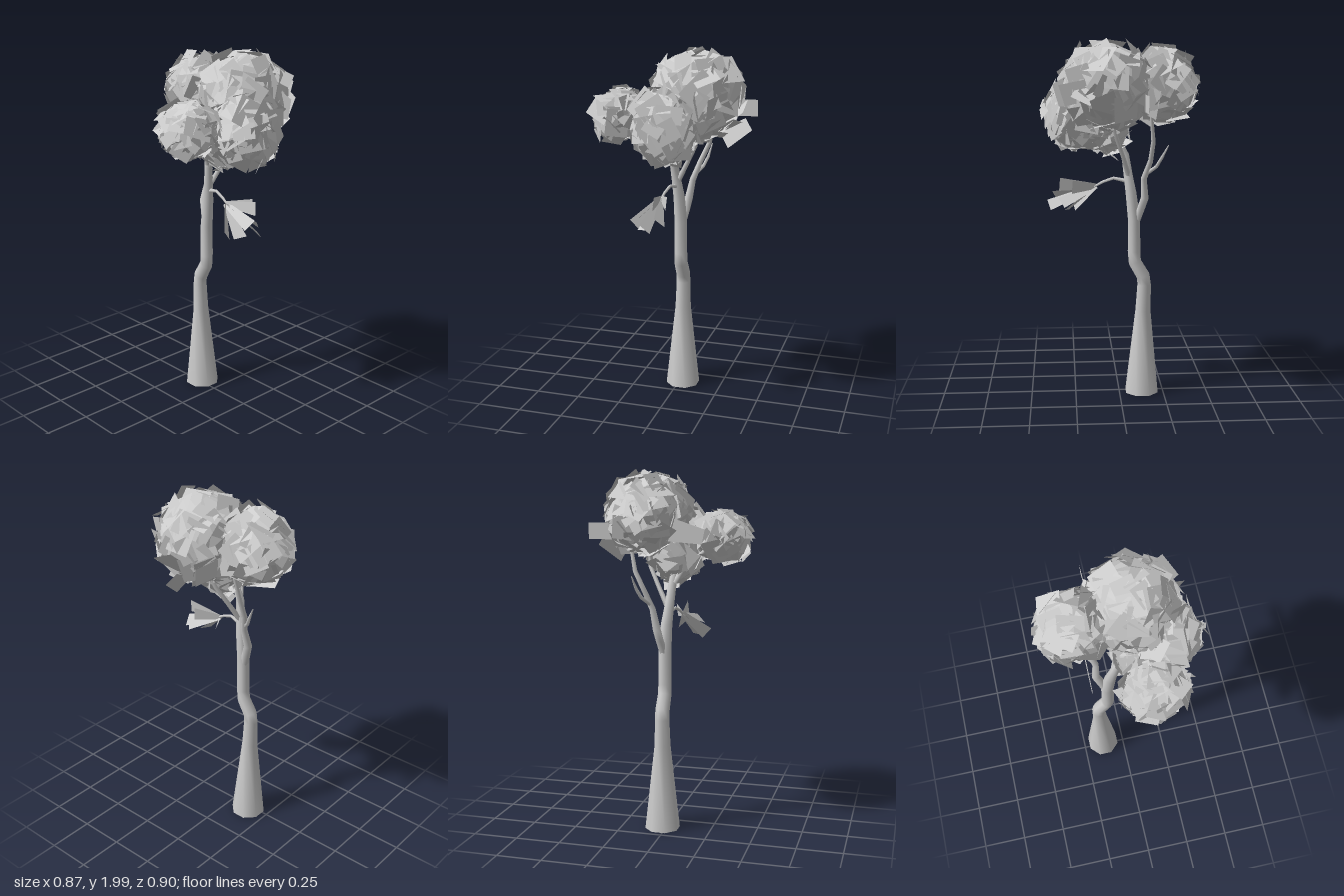
import * as THREE from 'three';
import { mergeGeometries } from 'three/addons/utils/BufferGeometryUtils.js';

const bark = new THREE.MeshStandardMaterial({ color: 0xcccccc, side: THREE.DoubleSide });
const leaf = new THREE.MeshStandardMaterial({ color: 0xcccccc, side: THREE.DoubleSide, flatShading: true });
const V = (a) => new THREE.Vector3(a[0], a[1], a[2]);

function seeded(seed) {
  let s = seed;
  return () => (s = (s * 16807) % 2147483647) / 2147483647;
}

// Tapered limb: rings of given radius at each [x, y, z, radius] point
function limb(name, path, sides) {
  const pos = [], index = [];
  path.forEach((p, i) => {
    const dir = V(path[Math.min(i + 1, path.length - 1)]).sub(V(path[Math.max(i - 1, 0)])).normalize();
    if (p[1] === 0) dir.set(0, 1, 0);
    const u = new THREE.Vector3().crossVectors(dir, new THREE.Vector3(0, 0, 1)).normalize();
    const w = new THREE.Vector3().crossVectors(u, dir);
    for (let j = 0; j < sides; j++) {
      const a = ((j + 0.5) / sides) * Math.PI * 2;
      const q = V(p).addScaledVector(u, p[3] * Math.cos(a)).addScaledVector(w, -p[3] * Math.sin(a));
      pos.push(q.x, q.y, q.z);
      if (i === 0) continue;
      const k = (j + 1) % sides, b = i * sides, c = b - sides;
      index.push(c + j, b + j, c + k, c + k, b + j, b + k);
    }
  });
  const g = new THREE.BufferGeometry();
  g.setAttribute('position', new THREE.Float32BufferAttribute(pos, 3));
  g.setIndex(index);
  g.computeVertexNormals();
  const m = new THREE.Mesh(g, bark);
  m.name = name;
  return m;
}

// Flat leaf card at a point, facing along normal, spun by an angle
function card(centre, normal, w, h, spin) {
  const q = new THREE.Quaternion().setFromUnitVectors(new THREE.Vector3(0, 0, 1), normal);
  return new THREE.PlaneGeometry(w, h).rotateZ(spin).applyQuaternion(q).translate(centre.x, centre.y, centre.z);
}

// Tapered leaf card running from one point to another
function blade(from, to, w0, w1, roll) {
  const a = V(from), dir = V(to).sub(a), len = dir.length();
  const g = new THREE.PlaneGeometry(1, len).translate(0, len / 2, 0);
  const p = g.attributes.position;
  for (let i = 0; i < p.count; i++) p.setX(i, p.getX(i) * (p.getY(i) > len / 2 ? w1 : w0));
  const q = new THREE.Quaternion().setFromUnitVectors(new THREE.Vector3(0, 1, 0), dir.normalize());
  g.rotateY(roll).applyQuaternion(q).translate(a.x, a.y, a.z);
  g.computeVertexNormals();
  return g;
}

// Clump of overlapping cards spread evenly over an ellipsoid
function clump(name, centre, radii, count, size, seed) {
  const rnd = seeded(seed), cards = [];
  for (let i = 0; i < count; i++) {
    const y = 1 - (2 * (i + 0.5)) / count, r = Math.sqrt(1 - y * y), a = i * 2.39996;
    const d = new THREE.Vector3(r * Math.cos(a), y, r * Math.sin(a));
    const c = d.clone().multiply(V(radii)).multiplyScalar(0.82 + 0.1 * rnd()).add(V(centre));
    const n = d.clone().divide(V(radii)).normalize();
    n.add(new THREE.Vector3(rnd() - 0.5, rnd() - 0.5, rnd() - 0.5).multiplyScalar(0.8)).normalize();
    cards.push(card(c, n, size * (0.75 + 0.5 * rnd()), size * (0.9 + 0.6 * rnd()), rnd() * 6.28));
  }
  const m = new THREE.Mesh(mergeGeometries(cards), leaf);
  m.name = name;
  return m;
}

export function createModel() {
  const tree = new THREE.Group();
  tree.name = 'tree';

  // Trunk and limbs
  tree.add(
    limb('trunk', [
      [-0.128, 0, -0.022, 0.098], [-0.135, 0.48, -0.02, 0.045], [-0.141, 0.63, -0.02, 0.04],
      [-0.135, 0.68, -0.02, 0.04], [-0.088, 0.76, -0.02, 0.038], [-0.083, 0.82, -0.02, 0.037],
      [-0.083, 1.0, -0.02, 0.036], [-0.066, 1.15, -0.015, 0.032], [-0.052, 1.24, -0.005, 0.027],
      [-0.035, 1.36, 0.008, 0.023], [0.01, 1.45, 0.01, 0.02], [0.07, 1.55, 0.02, 0.014],
    ], 8),
    limb('leftLimb', [
      [-0.095, 1.0, -0.025, 0.024], [-0.12, 1.07, -0.04, 0.023], [-0.14, 1.13, -0.05, 0.023],
      [-0.132, 1.24, -0.075, 0.018], [-0.165, 1.34, -0.11, 0.015], [-0.175, 1.45, -0.16, 0.013],
      [-0.16, 1.6, -0.19, 0.009],
    ], 6),
    limb('twig', [
      [-0.148, 1.27, -0.085, 0.011], [-0.195, 1.31, -0.12, 0.01],
      [-0.222, 1.36, -0.14, 0.009], [-0.258, 1.43, -0.155, 0.003],
    ], 5),
    limb('backLimb', [
      [-0.05, 1.25, -0.015, 0.016], [-0.02, 1.35, -0.07, 0.013],
      [0.02, 1.46, -0.13, 0.012], [0.06, 1.6, -0.17, 0.008],
    ], 5),
    limb('frontLimb', [
      [-0.035, 1.36, 0.008, 0.018], [0.0, 1.45, 0.06, 0.014], [0.06, 1.55, 0.17, 0.01], [0.1, 1.63, 0.25, 0.006],
    ], 5),
    limb('sideLimb', [
      [-0.06, 1.21, -0.01, 0.014], [-0.02, 1.222, 0, 0.011], [0.03, 1.232, 0.01, 0.009],
      [0.09, 1.21, 0.02, 0.008], [0.15, 1.175, 0.03, 0.005],
    ], 5),
  );

  // Crown
  tree.add(
    clump('leftLeaves', [-0.22, 1.745, -0.1], [0.205, 0.205, 0.185], 90, 0.11, 11),
    clump('topLeaves', [0.08, 1.745, -0.15], [0.25, 0.245, 0.26], 130, 0.12, 23),
    clump('rightLeaves', [0.21, 1.6, -0.02], [0.205, 0.21, 0.19], 90, 0.11, 37),
    clump('lowerLeaves', [0.06, 1.53, 0.0], [0.12, 0.17, 0.14], 45, 0.1, 51),
    clump('frontLeaves', [0.1, 1.63, 0.27], [0.18, 0.145, 0.15], 80, 0.1, 67),
  );

  // Cards that stick out of the crown
  const stray = new THREE.Mesh(mergeGeometries([
    blade([-0.12, 1.66, -0.25], [-0.125, 1.66, -0.44], 0.09, 0.09, Math.PI / 2),
    blade([-0.2, 1.68, 0.02], [-0.2, 1.64, 0.22], 0.13, 0.08, Math.PI / 2),
    blade([0.2, 1.74, -0.2], [0.345, 1.7, -0.22], 0.2, 0.12, 0.3),
    blade([-0.32, 1.76, -0.1], [-0.43, 1.78, -0.1], 0.14, 0.05, 0.4),
    blade([0.32, 1.64, -0.03], [0.425, 1.65, 0.0], 0.14, 0.06, 0.6),
    blade([0.08, 1.52, -0.3], [0.05, 1.6, -0.43], 0.12, 0.08, 1.2),
  ]), leaf);
  stray.name = 'strayLeaves';
  tree.add(stray);

  // Drooping spray at the end of the side limb
  const root = [0.125, 1.185, 0.03];
  const tips = [
    [0.33, 1.2, 0.01], [0.39, 1.08, 0.04], [0.29, 1.045, 0.08], [0.36, 1.13, 0.08],
    [0.25, 1.06, 0.14], [0.26, 1.19, -0.04], [0.32, 1.1, -0.02],
  ];
  const spray = new THREE.Mesh(mergeGeometries(
    tips.map((t, i) => blade(root, t, 0.03, 0.075, i * 0.7))), leaf);
  spray.name = 'sideLeaves';
  tree.add(spray);

  return tree;
}
